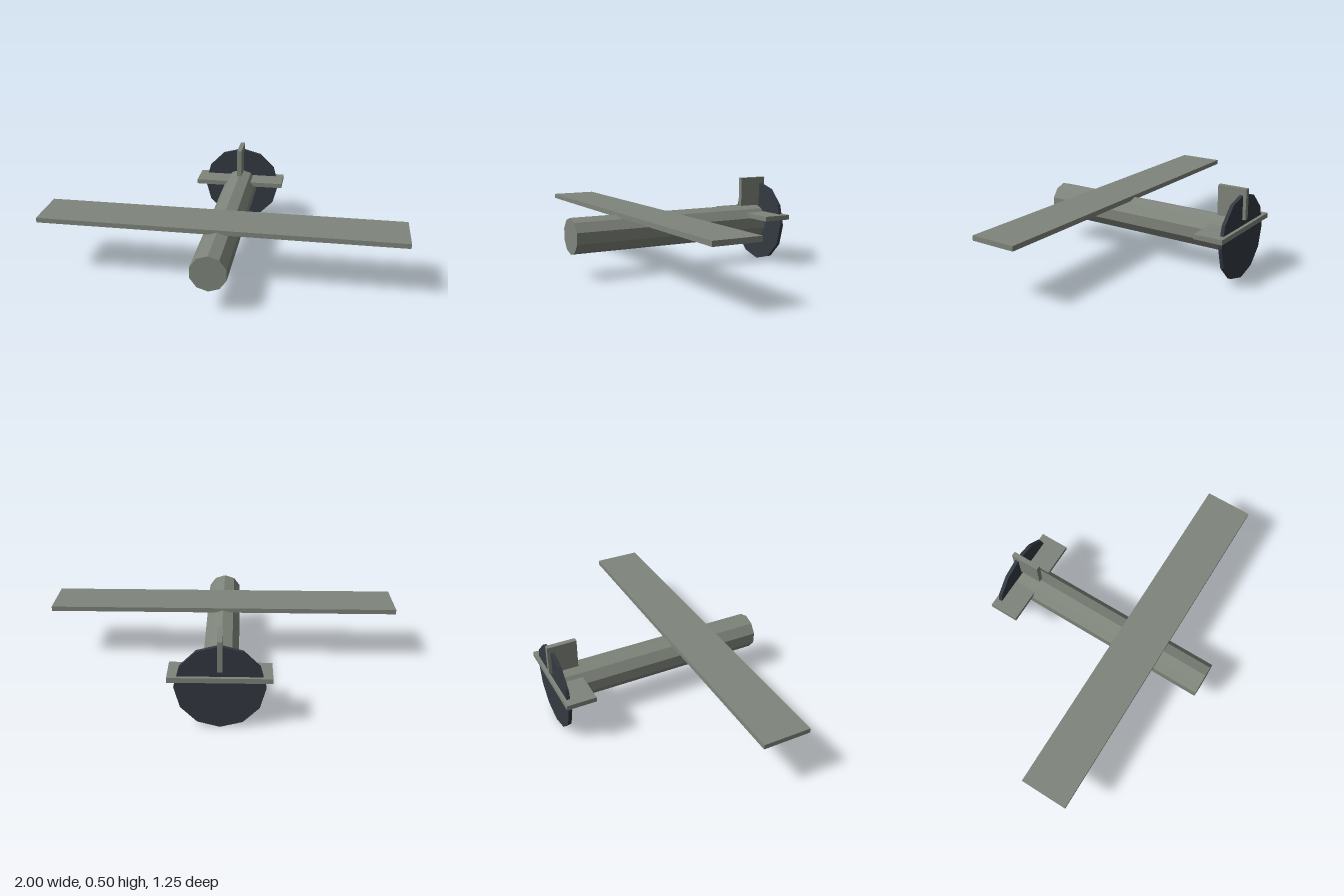
import * as THREE from 'three';

export function createModel() {
  const model = new THREE.Group();
  model.name = 'smallAircraft';

  const bodyGrey = new THREE.MeshStandardMaterial({ color: 0x7f857b, flatShading: true });
  bodyGrey.name = 'body grey';
  const darkGrey = new THREE.MeshStandardMaterial({ color: 0x343a42, flatShading: true });
  darkGrey.name = 'propeller dark grey';

  const axisY = 0.234; // height of the fuselage centreline

  function add(name, geometry, material, x, y, z) {
    const mesh = new THREE.Mesh(geometry, material);
    mesh.name = name;
    mesh.position.set(x, y, z);
    model.add(mesh);
  }

  // Prism lying along z with one corner pointing straight up
  function prism(radius, length, sides) {
    return new THREE.CylinderGeometry(radius, radius, length, sides).rotateX(-Math.PI / 2);
  }

  // Ten-sided fuselage
  add('fuselage', prism(0.1, 1.198, 10), bodyGrey, 0, axisY + 0.001, 0.026);

  // Flat slab wing and tail surfaces
  add('wing', new THREE.BoxGeometry(2, 0.027, 0.266), bodyGrey, 0, 0.334, 0.224);
  add('tailplane', new THREE.BoxGeometry(0.532, 0.027, 0.166), bodyGrey, 0, 0.284, -0.541);
  add('tailFin', new THREE.BoxGeometry(0.027, 0.168, 0.166), bodyGrey, 0, 0.416, -0.541);

  // Twelve-sided pusher propeller disc
  add('propellerDisc', prism(axisY, 0.02, 12), darkGrey, 0, axisY, -0.596);

  return model;
}
